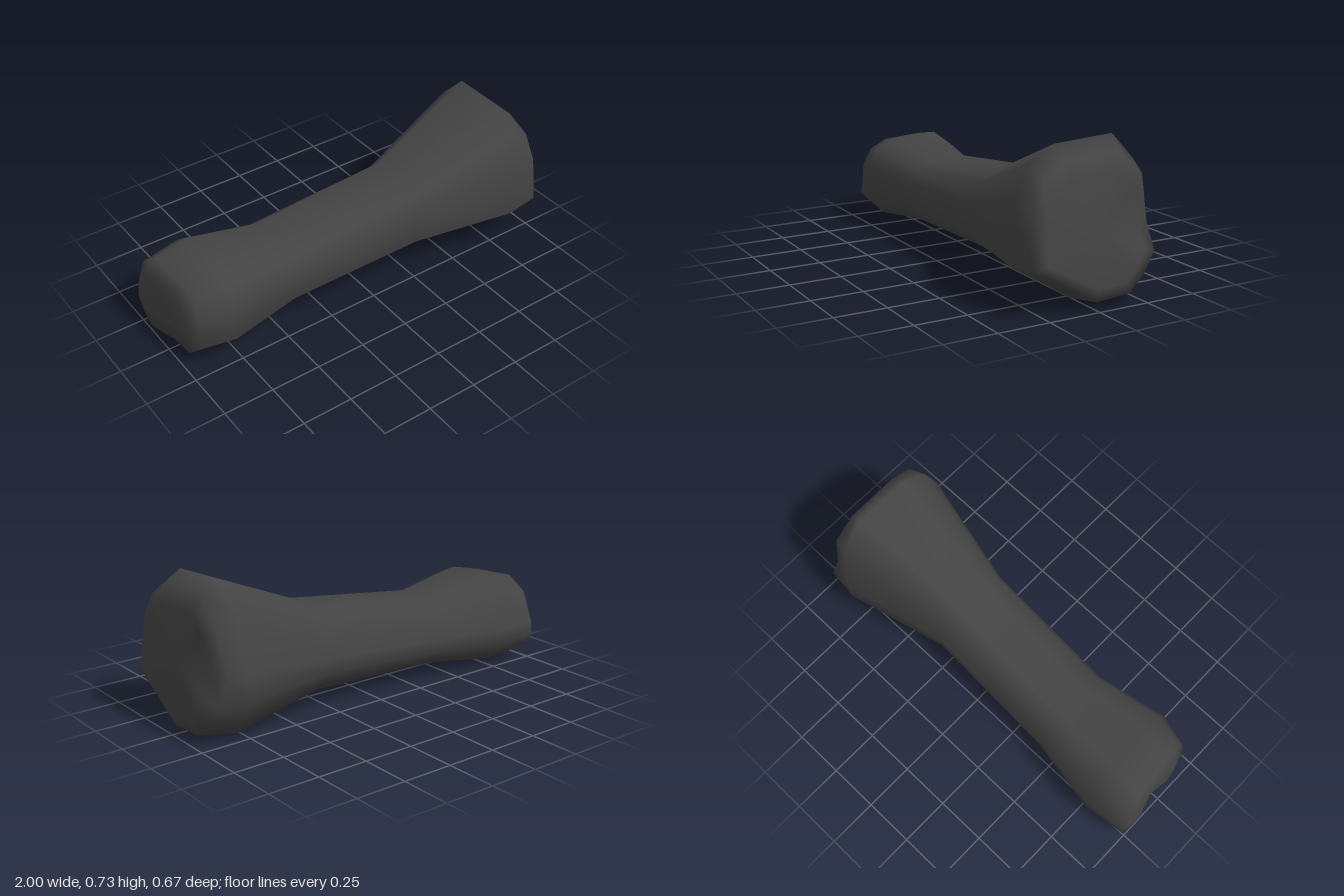
import * as THREE from 'three';

// Outline of the wide end in (z, y), scaled to -1..1
const OUTLINE = [
  [0.42, 0.95], [-0.45, 1], [-0.82, 0.66], [-1, -0.1], [-1, -0.44], [-0.79, -0.76],
  [-0.55, -0.97], [0.01, -1], [0.76, -0.57], [1, -0.43], [0.96, 0.34], [0.79, 0.74],
];

// Cross-sections from the narrow end to the wide end:
// x, slant with height, slant with depth, yMin, yMax, zMin, zMax, fullness of the lower front corner, notch [index, depth]
const SECTIONS = [
  [-0.985, 0.01, 0.015, 0.12, 0.34, -0.23, 0.12, 1, [7, 0.03]],
  [-0.965, 0.02, 0.025, 0.02, 0.43, -0.275, 0.215, 1, [7, 0.03]],
  [-0.78, 0, 0, 0.01, 0.465, -0.3, 0.255, 1],
  [-0.42, 0, 0, 0.06, 0.405, -0.235, 0.195, 1],
  [0.28, 0, 0, 0.07, 0.49, -0.205, 0.22, 0.6],
  [0.81, 0.035, 0, 0, 0.73, -0.335, 0.335, 0],
  [0.95, -0.03, 0.01, 0.04, 0.665, -0.315, 0.315, 0, [3, -0.05]],
  [0.976, -0.024, 0.01, 0.1, 0.59, -0.25, 0.26, 0, [3, -0.05]],
];

function boneGeometry() {
  const pos = [], index = [], n = OUTLINE.length;
  for (const [x, slantY, slantZ, y0, y1, z0, z1, full, notch] of SECTIONS) {
    OUTLINE.forEach(([u, v], j) => {
      if (j === 8) {
        u = THREE.MathUtils.lerp(u, 0.68, full);
        v = THREE.MathUtils.lerp(v, -0.8, full);
      }
      const dent = notch && notch[0] === j ? notch[1] : 0;
      pos.push(
        x + slantY * v + slantZ * u + dent,
        (y0 + y1) / 2 + v * (y1 - y0) / 2,
        (z0 + z1) / 2 + u * (z1 - z0) / 2,
      );
    });
  }
  // Skin between neighbouring sections
  const last = SECTIONS.length - 1;
  for (let i = 0; i < last; i++) {
    for (let j = 0; j < n; j++) {
      const k = (j + 1) % n;
      const a = i * n + j, b = i * n + k, c = a + n, d = b + n;
      index.push(a, c, b, b, c, d);
    }
  }
  // Slightly hollow end faces
  const small = pos.length / 3, big = small + 1;
  pos.push(-0.975, 0.24, -0.06, 0.968, 0.34, 0);
  for (let j = 0; j < n; j++) {
    const k = (j + 1) % n;
    index.push(small, j, k, big, last * n + k, last * n + j);
  }
  const geo = new THREE.BufferGeometry();
  geo.setAttribute('position', new THREE.Float32BufferAttribute(pos, 3));
  geo.setIndex(index);
  geo.computeVertexNormals();
  return geo;
}

export function createModel() {
  const group = new THREE.Group();
  group.name = 'bone';
  const shaft = new THREE.Mesh(boneGeometry(), new THREE.MeshStandardMaterial({ color: 0x444444 }));
  shaft.name = 'boneShaft';
  group.add(shaft);
  return group;
}
